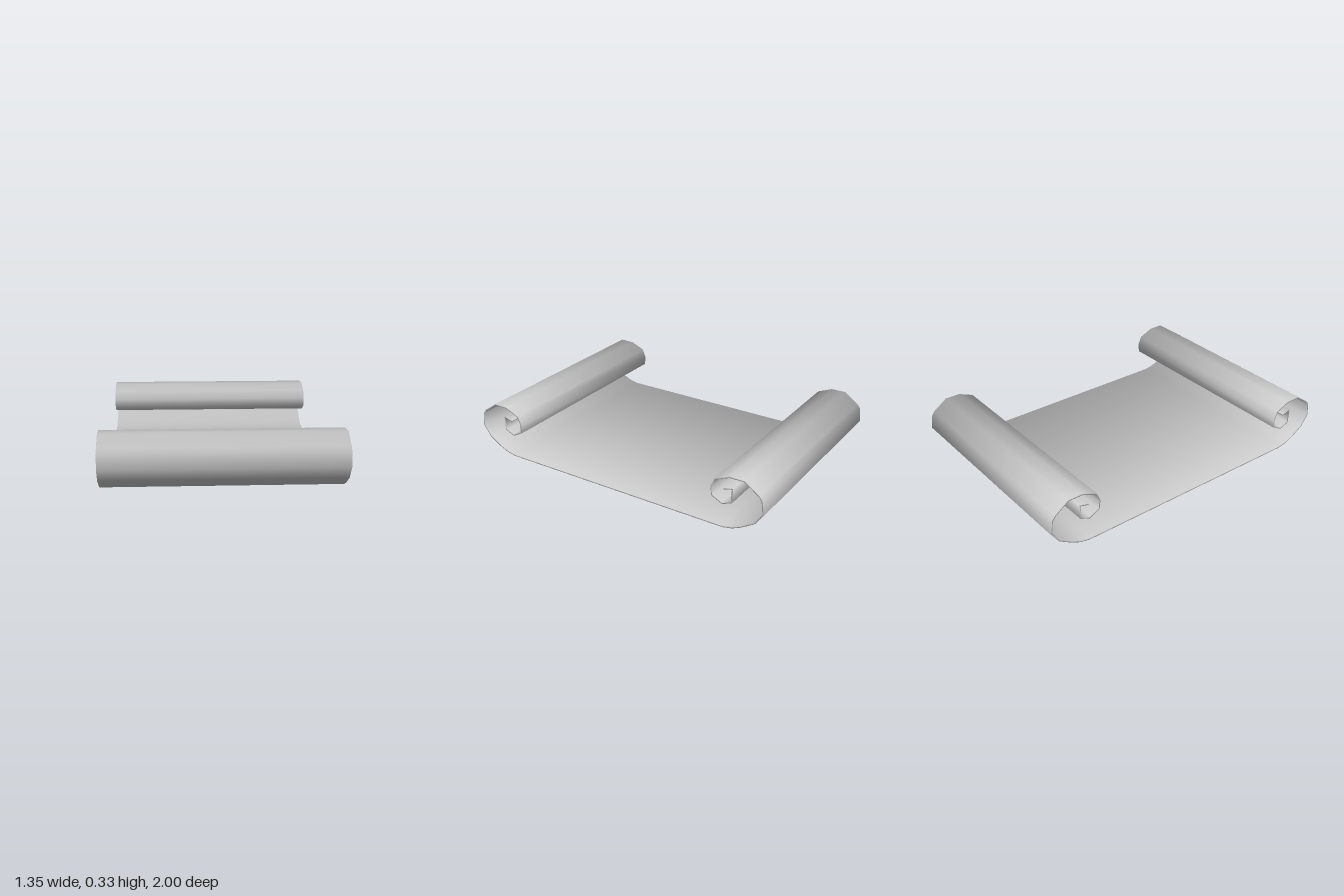
import * as THREE from 'three';

const HALF_WIDTH = 0.675;
const HALF_THICK = 0.004;

// Centre line of one curl as [z, y], from its inner tip out to the flat sheet
const CURL = [
  [0.753, 0.244], [0.81, 0.259], [0.805, 0.174], [0.748, 0.15], [0.684, 0.182],
  [0.678, 0.233], [0.7, 0.287], [0.79, 0.325], [0.88, 0.326], [0.968, 0.265],
  [0.987, 0.239], [0.996, 0.158], [0.946, 0.09], [0.866, 0.041], [0.812, 0.017],
  [0.753, 0.005],
];

// Thin closed sheet swept along the centre line, with normals rounded over its rims
function sheetGeometry(path) {
  const pts = path.map(([z, y]) => new THREE.Vector2(z, y));
  const last = pts.length - 1;
  const direction = (i) => pts[i + 1].clone().sub(pts[i]).normalize();
  const positions = [], normals = [], index = [];

  pts.forEach((p, i) => {
    const before = direction(Math.max(i - 1, 0));
    const after = direction(Math.min(i, last - 1));
    const along = before.clone().add(after).normalize();
    const n = new THREE.Vector2(along.y, -along.x);
    const miter = HALF_THICK / Math.max(along.dot(after), 0.5);
    // corners: inner left, inner right, outer right, outer left
    for (const [side, face] of [[1, 1], [-1, 1], [-1, -1], [1, -1]]) {
      positions.push(side * HALF_WIDTH, p.y + n.y * miter * face, p.x + n.x * miter * face);
      const v = new THREE.Vector3(side * 0.8, n.y * face, n.x * face).normalize();
      normals.push(v.x, v.y, v.z);
    }
    if (i === last) return;
    for (let k = 0; k < 4; k++) {
      const a = i * 4 + k, b = i * 4 + (k + 1) % 4;
      index.push(a, a + 4, b + 4, a, b + 4, b);
    }
  });

  // end caps
  const e = last * 4;
  index.push(0, 1, 2, 0, 2, 3, e, e + 2, e + 1, e, e + 3, e + 2);

  const geometry = new THREE.BufferGeometry();
  geometry.setAttribute('position', new THREE.Float32BufferAttribute(positions, 3));
  geometry.setAttribute('normal', new THREE.Float32BufferAttribute(normals, 3));
  geometry.setIndex(index);
  return geometry;
}

export function createModel() {
  const group = new THREE.Group();
  group.name = 'scroll';

  // Front curl, flat middle and mirrored back curl in one continuous sheet
  const path = [...CURL, ...CURL.map(([z, y]) => [-z, y]).reverse()];
  const sheet = new THREE.Mesh(
    sheetGeometry(path),
    new THREE.MeshStandardMaterial({ color: 0xcccccc })
  );
  sheet.name = 'scrollSheet';
  group.add(sheet);
  return group;
}
